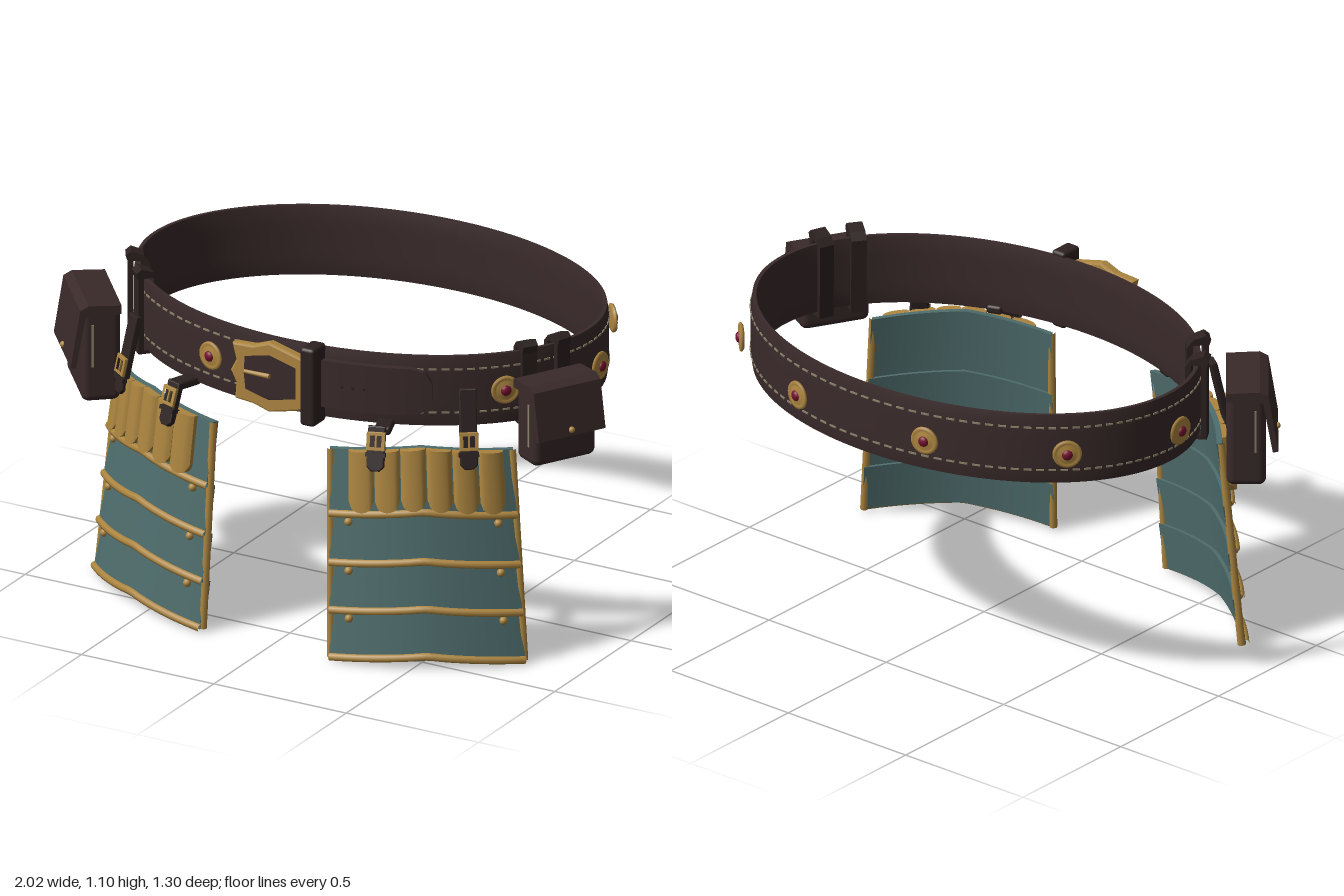
import * as THREE from 'three';
import { mergeGeometries } from 'three/addons/utils/BufferGeometryUtils.js';
import { RoundedBoxGeometry } from 'three/addons/geometries/RoundedBoxGeometry.js';

const mat = (name, color) => Object.assign(new THREE.MeshStandardMaterial({ color }), { name });
const leather = mat('dark leather', 0x3a2a2a);
const strapLeather = mat('strap leather', 0x2d2221);
const gold = mat('aged gold', 0xad8640);
const teal = mat('teal cloth', 0x4f6d6d);
const gemRed = mat('red gem', 0x75102e);
const thread = mat('stitch thread', 0x8c8069);

const lerp = THREE.MathUtils.lerp;
const A = 0.83, B = 0.5875, CZ = -0.0375;

function add(parent, name, geo, material, pos = [0, 0, 0]) {
  const m = new THREE.Mesh(geo, material);
  m.name = name;
  m.position.set(...pos);
  parent.add(m);
  return m;
}

// Box whose vertices are remapped: u right, v up, w outward, all 0..1
function mapBox(nu, nv, fn) {
  const g = new THREE.BoxGeometry(1, 1, 1, nu, nv, 1);
  const p = g.attributes.position;
  for (let i = 0; i < p.count; i++) p.setXYZ(i, ...fn(p.getX(i) + 0.5, p.getY(i) + 0.5, p.getZ(i) + 0.5));
  g.computeVertexNormals();
  return g;
}

// Point on the belt's oval; t = 0 is the front, growing toward +x
function oval(t, y, off) {
  const nx = Math.sin(t) / A, nz = Math.cos(t) / B, l = Math.hypot(nx, nz);
  return [A * Math.sin(t) + off * nx / l, y, CZ + B * Math.cos(t) + off * nz / l];
}
const facing = (t) => Math.atan2(Math.sin(t) / A, Math.cos(t) / B);

function polygon(points, hole) {
  const s = new THREE.Shape(points.map((q) => new THREE.Vector2(...q)));
  if (hole) s.holes.push(new THREE.Path(hole.map((q) => new THREE.Vector2(...q))));
  return s;
}

// Side profile given as (z, y), extruded across x
function profile(points, width, hole) {
  const g = new THREE.ExtrudeGeometry(polygon(points, hole), { depth: width, bevelEnabled: false });
  return g.translate(0, 0, -width / 2).rotateY(-Math.PI / 2);
}

function plate(shape, depth, bevel) {
  return new THREE.ExtrudeGeometry(shape, { depth, bevelThickness: bevel, bevelSize: bevel, bevelOffset: -bevel, bevelSegments: 2 });
}

// Point on a hanging panel: s runs left to right, y is height, off is outward
function panelPoint(side, s, y, off) {
  const q = side > 0 ? s : 1 - s, k = 1 - y / 0.74;
  const bulge = 0.24 * q * (1 - q) + off;
  const x = lerp(lerp(0.205, 0.225, k), lerp(0.73, 0.795, k), q) + 0.483 * bulge;
  const z = lerp(lerp(0.595, 0.63, k), lerp(0.305, 0.335, k), q) + 0.875 * bulge;
  const peak = 0.03 * (1 - Math.abs(2 * s - 1));
  return [side * x - (side < 0 ? 0.03 : 0), y + peak, z];
}

function belt(root) {
  add(root, 'beltBand', mapBox(128, 8, (u, v, w) =>
    oval((u - 0.5) * 2 * Math.PI, lerp(0.815, 1.06, v), lerp(-0.025, 0, w) - (w - 0.5) * 0.012 * Math.abs(2 * v - 1) ** 6)), leather);
  const dashes = [];
  for (const y of [0.864, 1.016])
    for (let i = 0; i < 110; i++)
      dashes.push(mapBox(1, 1, (u, v, w) => oval((i + 0.62 * u) / 110 * 2 * Math.PI, y + 0.006 * (v - 0.5), -0.002 + 0.005 * w)));
  add(root, 'beltStitching', mergeGeometries(dashes), thread);

  // Overlapping strap end with a rounded tip
  add(root, 'strapEnd', mapBox(40, 2, (u, v, w) => {
    const r = Math.max(0, (u - 0.86) / 0.14);
    const h = 0.082 * (0.35 + 0.65 * Math.sqrt(1 - r * r));
    return oval(lerp(-0.16, 0.645, u), 0.942 + h * (2 * v - 1), 0.024 * w);
  }), leather);
  add(root, 'beltKeeper', new RoundedBoxGeometry(0.055, 0.275, 0.085, 2, 0.012), strapLeather, [0.127, 0.938, 0.57]);

  // Ornate front buckle
  const frame = polygon(
    [[-0.16, 1.038], [-0.08, 1.042], [-0.02, 1.064], [0.04, 1.048], [0.11, 1.03], [0.11, 0.85], [0.04, 0.832], [-0.02, 0.818],
      [-0.08, 0.836], [-0.15, 0.842], [-0.145, 0.9], [-0.166, 0.94], [-0.145, 0.98]],
    [[-0.118, 1.005], [-0.02, 1.028], [0.088, 1.0], [0.088, 0.88], [-0.02, 0.854], [-0.115, 0.878], [-0.122, 0.94]]);
  add(root, 'buckleFrame', plate(frame, 0.022, 0.007), gold, [0, 0, 0.575]);
  const prong = add(root, 'buckleProng', new THREE.CylinderGeometry(0.006, 0.009, 0.12, 8), gold, [-0.085, 0.94, 0.592]);
  prong.rotation.z = Math.PI / 2;
  for (let i = 0; i < 3; i++)
    add(root, 'strapHole', new THREE.CylinderGeometry(0.005, 0.005, 0.006, 8).rotateX(Math.PI / 2), strapLeather, oval(0.27 + i * 0.045, 0.94, 0.025));
}

// Gold studs with a red gem
function rosettes(root) {
  const disc = [[0, -0.008], [0.04, -0.008], [0.049, -0.002], [0.047, 0.005], [0.038, 0.005], [0.032, 0.002], [0.022, 0.008], [0, 0.009]];
  const lathe = new THREE.LatheGeometry(disc.map((q) => new THREE.Vector2(...q)), 24).rotateX(Math.PI / 2);
  const gem = new THREE.SphereGeometry(0.018, 16, 10).scale(1, 1, 0.6);
  for (const t of [-0.345, 0.98, 1.565, -1.565, 2.2, -2.2, 2.82, -2.82]) {
    const g = new THREE.Group();
    g.name = 'rosette';
    const front = Math.abs(t) < 1.2;
    g.position.set(...oval(t, 0.937, front ? 0.012 : 0.035));
    g.rotation.y = facing(t);
    add(g, 'rosetteDisc', lathe, gold);
    add(g, 'rosetteGem', gem, gemRed, [0, 0, 0.008]);
    root.add(g);
  }
}

function panel(root, side) {
  const g = new THREE.Group();
  g.name = side > 0 ? 'leftPanel' : 'rightPanel';
  const P = (s, y, off) => panelPoint(side, s, y, off);
  const tube = (name, pts, r) => add(g, name,
    new THREE.TubeGeometry(new THREE.CatmullRomCurve3(pts.map((q) => new THREE.Vector3(...q))), 28, r, 8), gold);
  const rows = [0.735, 0.51, 0.34, 0.175, 0.012];

  // Overlapping cloth sections, each flaring at its lower edge
  for (let i = 0; i < 4; i++) {
    add(g, 'panelSection', mapBox(16, 4, (u, v, w) =>
      P(u, lerp(rows[i + 1], rows[i], v), 0.012 * (1 - v) + 0.02 * (w - 1))), teal);
    const pts = [];
    for (let k = 0; k <= 12; k++) pts.push(P(k / 12, rows[i + 1] + 0.004, 0.01));
    tube('panelTrim', pts, 0.0135);
    if (i < 3)
      for (const s of [0.1, 0.9])
        add(g, 'panelRivet', new THREE.SphereGeometry(0.014, 12, 8), gold, P(s, rows[i + 1] - 0.024, 0.006));
  }
  for (const s of [0.005, 0.995])
    tube('panelEdge', [0.012, 0.175, 0.34, 0.51, 0.735].map((y) => P(s, y, -0.004)), 0.013);

  // Row of upright scales with rounded lower ends
  const s0 = side > 0 ? 0.1 : 0.05, step = 0.85 / 6;
  for (let i = 0; i < 6; i++)
    add(g, 'panelScale', mapBox(10, 3, (u, v, w) => {
      const c = Math.sqrt(Math.max(0, 1 - (2 * u - 1) ** 2));
      return P(s0 + (i + 0.02 + 0.96 * u) * step, lerp(0.563 - 0.035 * c, 0.735, v), w * (0.012 + 0.016 * c) + 0.008 * (1 - v));
    }), gold);
  root.add(g);

  // Hanging straps with small buckles
  const shift = side < 0 ? -0.025 : 0;
  for (const [x, y, z, len, yaw, tilt] of [[0.375, 0.765, 0.585, 0.15, 0.35, -0.3], [0.63, 0.83, 0.425, 0.27, 0.62, -0.22]]) {
    const h = new THREE.Group();
    h.name = 'hangingStrap';
    h.position.set(side * x + shift, y, z);
    h.rotation.set(tilt, side * yaw, 0, 'YXZ');
    const e = len / 2, b = 0.79 - y;
    add(h, 'strapTongue', plate(polygon([[-0.029, e], [0.029, e], [0.029, -e + 0.015], [0.015, -e], [-0.015, -e], [-0.029, -e + 0.015]]), 0.014, 0.004), strapLeather, [0, 0, -0.007]);
    const ring = (r) => [[-r, r], [r, r], [r, -r], [-r, -r]];
    add(h, 'strapBuckle', plate(polygon(ring(0.031), ring(0.021)), 0.008, 0.002), gold, [0, b, 0.012]);
    add(h, 'strapProng', new THREE.BoxGeometry(0.006, 0.05, 0.006), gold, [0, b, 0.018]);
    add(h, 'strapKeeper', new THREE.BoxGeometry(0.066, 0.014, 0.03), strapLeather, [0, b - 0.045, 0.002]);
    root.add(h);
  }
  const link = add(root, 'strapLink', new RoundedBoxGeometry(0.055, 0.03, 0.1, 2, 0.01), strapLeather, [side * 0.365 + shift, 0.818, 0.512]);
  link.rotation.y = side * 0.35;
}

function pouch(root, { name, x, z, yaw, w, d, bottom, flap, loops }) {
  const g = new THREE.Group();
  g.name = name;
  g.position.set(x, 0, z);
  g.rotation.y = yaw;
  const top = 0.985, h = top - bottom, r = d / 2;
  add(g, 'pouchBody', new RoundedBoxGeometry(w, h, d, 3, 0.025), leather, [0, bottom + h / 2, 0]);
  add(g, 'pouchFlap', profile([[-r, 0.995], [r - 0.02, 1.0], [r + 0.008, 0.985], [r + 0.04, 1 - flap], [r + 0.022, 1 - flap - 0.004], [r - 0.01, 0.96], [-r, 0.965]], w + 0.015), leather);
  add(g, 'pouchClasp', new THREE.SphereGeometry(0.011, 12, 8), gold, [0, 1.02 - flap, r + 0.037]);
  // Pale piping along both sides
  for (const sx of [-1, 1])
    add(g, 'pouchPiping', new THREE.BoxGeometry(0.006, 0.15, 0.007), thread, [sx * w / 2, 0.855, r - 0.035]);
  root.add(g);
  // Peaked loops that carry the pouch over the belt
  for (const t of loops) {
    const l = add(root, 'pouchLoop', profile(
      [[-0.045, 0.8], [0.022, 0.8], [0.022, 1.06], [0.03, 1.085], [0.012, 1.1], [-0.03, 1.085], [-0.05, 1.06]], 0.052,
      [[-0.03, 0.812], [0.004, 0.812], [0.004, 1.066], [-0.03, 1.066]]), strapLeather, oval(t, 0, 0));
    l.rotation.y = facing(t);
  }
}

export function createModel() {
  const root = new THREE.Group();
  root.name = 'armoredBelt';
  belt(root);
  rosettes(root);
  panel(root, 1);
  panel(root, -1);
  pouch(root, { name: 'leftPouch', x: 0.857, z: 0.24, yaw: 1.065, w: 0.24, d: 0.12, bottom: 0.715, flap: 0.178, loops: [1.3, 1.1] });
  pouch(root, { name: 'rightPouch', x: -0.83, z: 0.345, yaw: -0.873, w: 0.3, d: 0.13, bottom: 0.655, flap: 0.214, loops: [-1.157, -0.92] });
  return root;
}
